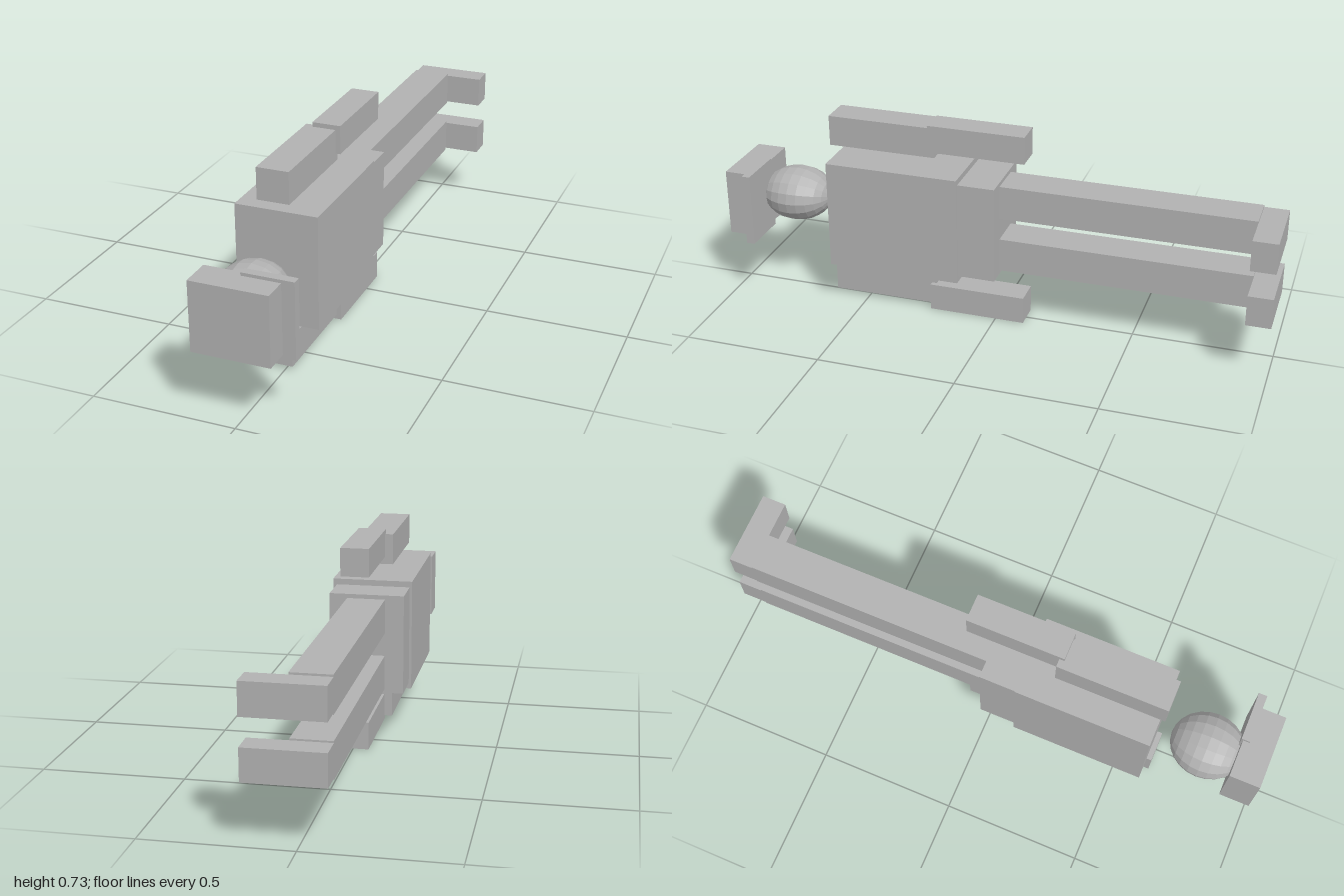
import * as THREE from 'three';

export function createModel() {
  const model = new THREE.Group();
  model.name = 'lyingFigure';
  const grey = new THREE.MeshStandardMaterial({ color: 0xb2b2b2 });
  grey.name = 'plain grey';
  grey.flatShading = true;

  const midY = 0.365; // the body mirrors about this height

  // box from its extents along each axis
  function box(name, [x0, x1], [y0, y1], [z0, z1]) {
    const mesh = new THREE.Mesh(new THREE.BoxGeometry(x1 - x0, y1 - y0, z1 - z0), grey);
    mesh.position.set((x0 + x1) / 2, (y0 + y1) / 2, (z0 + z1) / 2);
    mesh.name = name;
    model.add(mesh);
  }

  // matching limb boxes, given by distance from the middle
  function pair(name, x, [d0, d1], z) {
    box(name + 'Upper', x, [midY + d0, midY + d1], z);
    box(name + 'Lower', x, [midY - d1, midY - d0], z);
  }

  // trunk
  box('torso', [-0.173, 0.115], [0.165, 0.565], [0.12, 0.608]);
  box('hips', [-0.164, 0.101], [0.187, 0.544], [-0.014, 0.12]);

  // head, with its poles along the body
  const head = new THREE.Mesh(new THREE.SphereGeometry(1, 16, 12), grey);
  head.name = 'head';
  head.rotation.x = Math.PI / 2;
  head.scale.set(0.118, 0.132, 0.099);
  head.position.set(-0.03, midY + 0.001, 0.789);
  model.add(head);

  // cap and its peak
  box('cap', [-0.141, 0.127], [0.243, 0.487], [0.891, 1.0]);
  box('capPeak', [-0.006, 0.171], [0.232, 0.498], [0.884, 0.914]);

  // arms
  pair('upperArm', [-0.085, 0.027], [0.236, 0.347], [0.23, 0.626]);
  pair('forearm', [-0.056, 0.044], [0.263, 0.363], [-0.105, 0.248]);

  // legs and feet
  pair('leg', [-0.097, 0.038], [0.041, 0.164], [-0.913, -0.014]);
  pair('foot', [-0.097, 0.171], [0.047, 0.157], [-1.0, -0.913]);

  return model;
}
